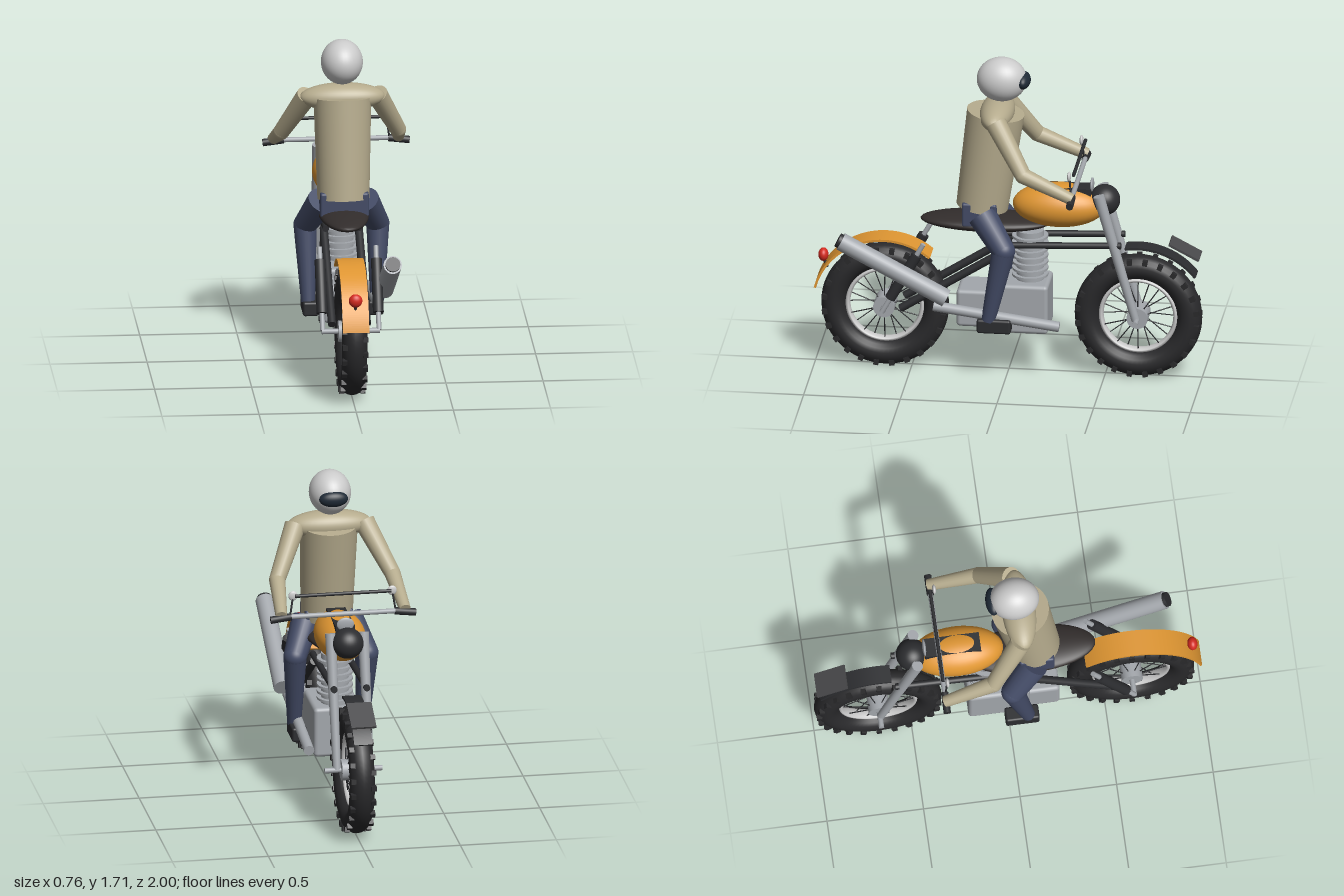
import * as THREE from 'three';
import { RoundedBoxGeometry } from 'three/addons/geometries/RoundedBoxGeometry.js';

const mat = (color) => new THREE.MeshStandardMaterial({ color });
const M = {
  rubber: mat(0x29292b), dark: mat(0x2c2d30), steel: mat(0xa3a7ac), light: mat(0xcccccc),
  orange: mat(0xdf9632), jacket: mat(0xb5ab8d), trousers: mat(0x434b66), helmet: mat(0xdedede),
  visor: mat(0x1f2a36), red: mat(0xd42a20), seat: mat(0x322d2c), plate: mat(0x4a4a4c),
};

export function createModel() {
  const root = new THREE.Group();
  root.name = 'motorcycleWithRider';

  const add = (name, geo, material, pos = [0, 0, 0], parent = root) => {
    const m = new THREE.Mesh(geo, material);
    m.name = name;
    m.position.set(...pos);
    parent.add(m);
    return m;
  };
  // Tapered rod between two points
  const rod = (name, a, b, r0, r1, material, parent = root, sides = 20) => {
    const p = new THREE.Vector3(...a), q = new THREE.Vector3(...b);
    const d = q.clone().sub(p);
    const m = add(name, new THREE.CylinderGeometry(r1, r0, d.length(), sides), material,
      p.clone().add(q).multiplyScalar(0.5).toArray(), parent);
    m.quaternion.setFromUnitVectors(new THREE.Vector3(0, 1, 0), d.normalize());
    return m;
  };
  const ball = (name, pos, size, material, parent = root) => {
    const m = add(name, new THREE.SphereGeometry(1, 36, 24), material, pos, parent);
    m.scale.set(...size);
    return m;
  };
  const box = (name, pos, size, material, radius = 0.012) =>
    add(name, new RoundedBoxGeometry(...size, 3, radius), material, pos);

  // Wheels: tyre, tread knobs, rim, spokes and hub, in the YZ plane
  function wheel(name, z) {
    const g = new THREE.Group();
    g.name = name;
    g.position.set(0, 0.335, z);
    root.add(g);
    add('tyre', new THREE.TorusGeometry(0.265, 0.065, 18, 64), M.rubber, [0, 0, 0], g).rotation.y = Math.PI / 2;
    const rim = add('rim', new THREE.TorusGeometry(0.193, 0.013, 10, 56), M.light, [0, 0, 0], g);
    rim.rotation.y = Math.PI / 2;
    rim.scale.z = 2.2;
    const knob = new THREE.BoxGeometry(0.026, 0.026, 0.028);
    for (let i = 0; i < 24; i++) {
      for (const s of [-1, 1]) {
        const a = ((i + (s > 0 ? 0.5 : 0)) / 24) * Math.PI * 2;
        const k = add('treadKnob', knob, M.rubber, [s * 0.053, 0.308 * Math.sin(a), 0.308 * Math.cos(a)], g);
        k.rotation.x = -a;
      }
    }
    for (let i = 0; i < 20; i++) {
      const a = (i / 20) * Math.PI * 2, s = i % 2 ? 1 : -1;
      const at = (r, x) => [x, r * Math.sin(a), r * Math.cos(a)];
      rod('spoke', at(0.04, s * 0.035), at(0.195, s * 0.01), 0.003, 0.003, M.dark, g, 6);
    }
    rod('hub', [-0.065, 0, 0], [0.065, 0, 0], 0.055, 0.055, M.steel, g, 28);
    rod('axle', [-0.15, 0, 0], [0.15, 0, 0], 0.014, 0.014, M.steel, g);
  }
  wheel('rearWheel', 0.64);
  wheel('frontWheel', -0.67);

  // Mudguards: ring segments extruded across the wheel
  function mudguard(name, z, radius, from, to, width, material) {
    const a = THREE.MathUtils.degToRad(from), b = THREE.MathUtils.degToRad(to);
    const s = new THREE.Shape();
    s.absarc(0, 0, radius, a, b, false);
    s.absarc(0, 0, radius - 0.012, b, a, true);
    const geo = new THREE.ExtrudeGeometry(s, { depth: width, bevelEnabled: false, curveSegments: 32 });
    geo.translate(0, 0, -width / 2);
    add(name, geo, material, [0, 0.335, z]).rotation.y = -Math.PI / 2;
  }
  mudguard('rearMudguard', 0.64, 0.374, 14.5, 130, 0.136, M.orange);
  mudguard('frontMudguard', -0.67, 0.384, 80, 142, 0.095, M.dark);
  const plate = add('frontPlate', new THREE.BoxGeometry(0.13, 0.012, 0.175), M.plate, [0, 0.71, -0.912]);
  plate.rotation.x = -0.48;
  ball('tailLight', [0, 0.588, 0.96], [0.035, 0.035, 0.026], M.red);
  rod('tailLightBracket', [0, 0.57, 0.96], [0, 0.52, 0.94], 0.008, 0.008, M.dark);

  // Engine
  box('crankcase', [0, 0.378, -0.055], [0.25, 0.265, 0.32], M.steel, 0.02);
  box('gearbox', [0, 0.365, 0.17], [0.22, 0.2, 0.18], M.steel, 0.02);
  rod('cylinderBarrel', [0, 0.5, -0.11], [0, 0.78, -0.11], 0.072, 0.072, M.steel, root, 28);
  for (let i = 0; i < 7; i++)
    add('coolingFin', new THREE.CylinderGeometry(0.093, 0.093, 0.012, 32), M.steel, [0, 0.535 + i * 0.035, -0.11]);

  // Exhaust on the left
  rod('exhaustPipe', [0.163, 0.31, -0.28], [0.163, 0.395, 0.37], 0.027, 0.027, M.steel);
  rod('silencer', [0.2, 0.455, 0.3], [0.2, 0.742, 0.845], 0.047, 0.047, M.steel, root, 28);
  rod('silencerTip', [0.2, 0.742, 0.845], [0.2, 0.75, 0.86], 0.038, 0.038, M.dark, root, 28);

  // Seat, tank and headlamp
  ball('seat', [0, 0.818, 0.122], [0.13, 0.043, 0.335], M.seat);
  ball('fuelTank', [0, 0.923, -0.26], [0.13, 0.115, 0.24], M.orange);
  add('tankPad', new THREE.BoxGeometry(0.1, 0.035, 0.29), M.dark, [0, 1.012, -0.285]);
  ball('headlamp', [0, 0.96, -0.495], [0.083, 0.08, 0.08], M.dark);
  ball('gauge', [0, 1.04, -0.43], [0.045, 0.036, 0.01], M.steel);

  // Handlebar and crossbar
  rod('handlebar', [-0.28, 1.073, -0.36], [0.28, 1.073, -0.36], 0.013, 0.013, M.steel);
  rod('crossbar', [-0.25, 1.185, -0.365], [0.25, 1.185, -0.365], 0.009, 0.009, M.dark);

  // Mirrored parts of bike and rider
  for (const s of [-1, 1]) {
    const side = s > 0 ? 'left' : 'right';
    rod(side + 'Fork', [s * 0.085, 1.01, -0.475], [s * 0.085, 0.335, -0.665], 0.029, 0.021, M.steel);
    rod(side + 'TopTube', [s * 0.085, 0.715, 0.06], [s * 0.085, 0.742, -0.59], 0.017, 0.017, M.dark);
    rod(side + 'SwingArm', [s * 0.09, 0.7, -0.01], [s * 0.09, 0.345, 0.55], 0.021, 0.021, M.dark);
    rod(side + 'ShockRod', [s * 0.145, 0.34, 0.64], [s * 0.145, 0.725, 0.425], 0.013, 0.013, M.steel);
    rod(side + 'ShockBody', [s * 0.145, 0.42, 0.597], [s * 0.145, 0.665, 0.458], 0.028, 0.028, M.dark);
    rod(side + 'Grip', [s * 0.27, 1.073, -0.36], [s * 0.378, 1.06, -0.36], 0.019, 0.019, M.dark);
    ball(side + 'Mirror', [s * 0.258, 1.18, -0.343], [0.024, 0.026, 0.01], M.light);
    rod(side + 'MirrorStem', [s * 0.258, 1.18, -0.345], [s * 0.275, 1.075, -0.355], 0.005, 0.005, M.dark);

    // Arm
    const shoulder = [s * 0.18, 1.425, 0.045], elbow = [s * 0.3, 1.19, -0.11], hand = [s * 0.322, 1.08, -0.365];
    rod(side + 'UpperArm', shoulder, elbow, 0.055, 0.042, M.jacket);
    ball(side + 'Elbow', elbow, [0.042, 0.042, 0.042], M.jacket);
    rod(side + 'Forearm', elbow, hand, 0.042, 0.03, M.jacket);

    // Leg and boot
    const knee = [s * 0.187, 0.725, 0.005];
    rod(side + 'Thigh', [s * 0.11, 0.885, 0.125], knee, 0.075, 0.06, M.trousers);
    ball(side + 'Knee', knee, [0.06, 0.06, 0.06], M.trousers);
    rod(side + 'Shin', knee, [s * 0.178, 0.335, 0.085], 0.06, 0.036, M.trousers);
    box(side + 'Boot', [s * 0.168, 0.308, 0.055], [0.08, 0.075, 0.175], M.dark);
  }

  // Rider body and head
  box('pelvis', [0, 0.885, 0.14], [0.25, 0.13, 0.18], M.trousers);
  rod('torso', [0, 0.9, 0.138], [0, 1.42, 0.068], 0.134, 0.149, M.jacket, root, 36);
  ball('shoulders', [0, 1.42, 0.06], [0.22, 0.073, 0.088], M.jacket);
  ball('helmet', [0, 1.6, 0.037], [0.108, 0.116, 0.129], M.helmet);
  ball('visor', [0, 1.598, -0.075], [0.075, 0.042, 0.037], M.visor);
  return root;
}
